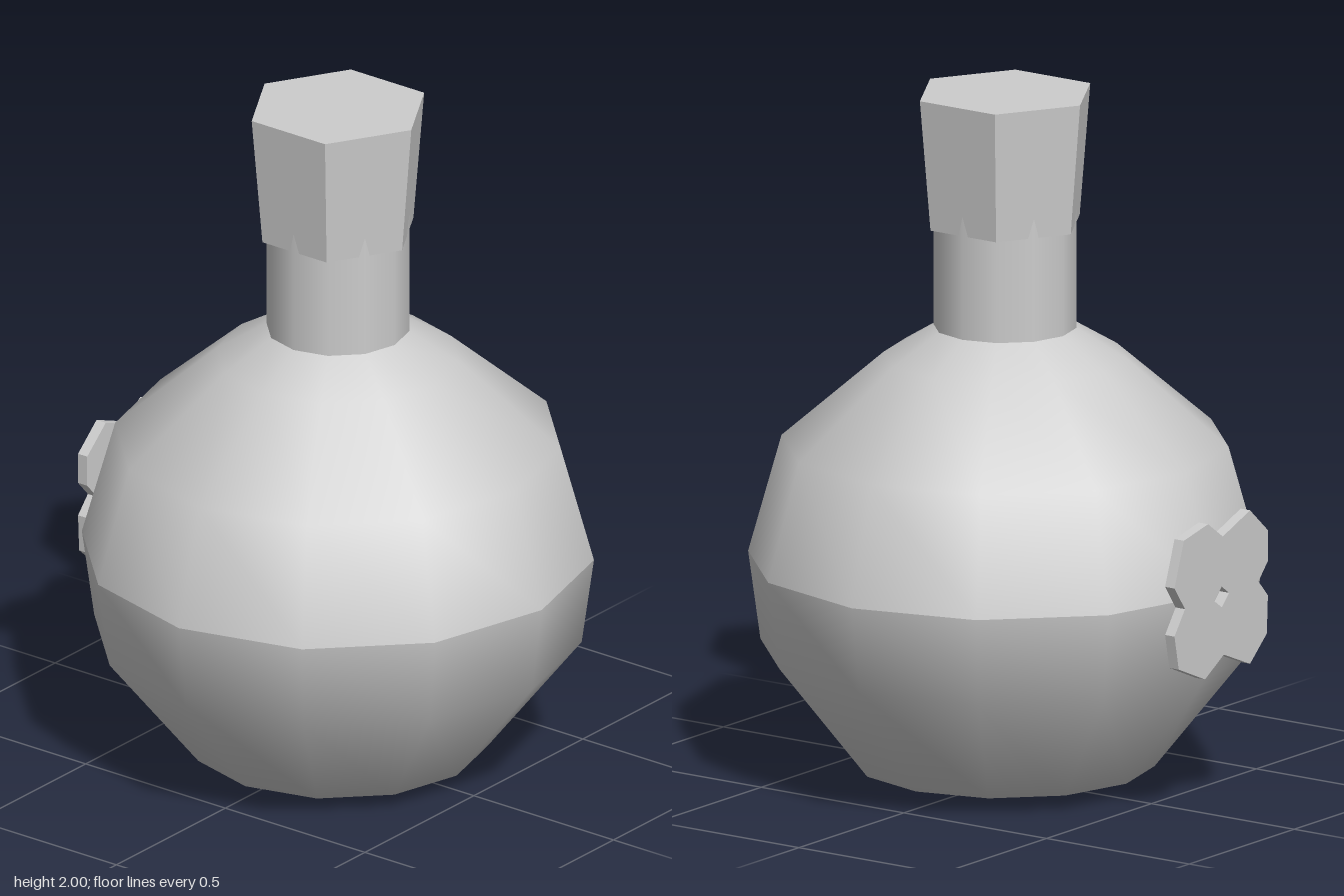
import * as THREE from 'three';

const CENTRE_Z = 0.013;

export function createModel() {
  const model = new THREE.Group();
  model.name = 'potionFlask';
  const grey = new THREE.MeshStandardMaterial({ color: 0xcccccc });
  grey.name = 'plain grey';

  const add = (name, geometry, x = 0, y = 0, z = CENTRE_Z) => {
    const mesh = new THREE.Mesh(geometry, grey);
    mesh.name = name;
    mesh.position.set(x, y, z);
    model.add(mesh);
  };
  const points = (list) => list.map(([x, y]) => new THREE.Vector2(x, y));
  const lathe = (profile) => new THREE.LatheGeometry(points(profile), 12);

  // Twelve-sided bulb in two smooth halves, with a crease between them
  add('lowerBulb', lathe([[0, 0.005], [0.425, 0.05], [0.695, 0.39], [0.73, 0.645]]));
  add('upperBulb', lathe([[0.73, 0.645], [0.635, 0.985], [0.345, 1.235], [0.2035, 1.32]]));

  // Neck, whose corners just poke through the stopper
  add('neck', new THREE.CylinderGeometry(0.2035, 0.2035, 0.4, 12), 0, 1.52);

  // Six-sided flared stopper with flat faces
  const stopper = new THREE.CylinderGeometry(0.2627, 0.23, 0.38, 6).toNonIndexed();
  stopper.computeVertexNormals();
  add('stopper', stopper, 0, 1.81);

  // Four-petalled flower plate on the back, with a diamond hole
  const petals = new THREE.Shape(points([
    [0.225, 0.07], [0.18, 0.2], [0.065, 0.225], [-0.005, 0.175],
    [-0.135, 0.225], [-0.22, 0.15], [-0.22, 0.06], [-0.175, 0.01],
    [-0.22, -0.04], [-0.215, -0.15], [-0.135, -0.222], [-0.01, -0.17],
    [0.08, -0.224], [0.205, -0.17], [0.225, -0.07], [0.175, 0],
  ]));
  petals.holes.push(new THREE.Path(points([
    [0.035, -0.005], [0, -0.03], [-0.035, 0.005], [0, 0.03],
  ])));
  add('flower', new THREE.ExtrudeGeometry(petals, { depth: 0.033, bevelEnabled: false }),
    0.005, 0.645, -0.75);

  return model;
}
